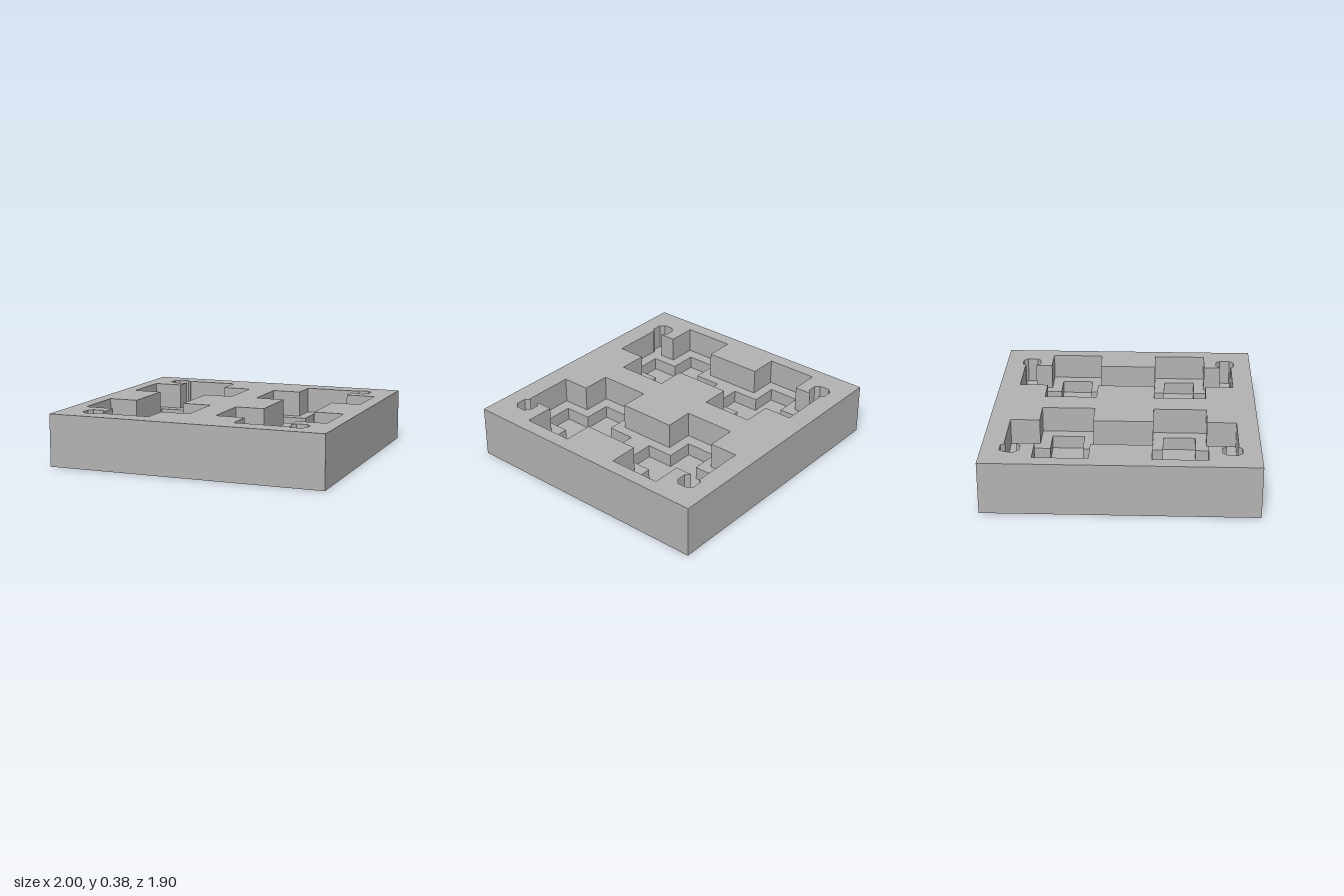
import * as THREE from 'three';
import { mergeGeometries } from 'three/addons/utils/BufferGeometryUtils.js';

const TOP = 0.375, FLOOR = 0.1875, PIT = 0.094;

// Plan outlines are lists of [x, depth] points; each is returned counter-clockwise.
const ccw = pts => {
  const v = pts.map(([x, y]) => new THREE.Vector2(x, y));
  return THREE.ShapeUtils.isClockWise(v) ? v.reverse() : v;
};

// Horizontal face with holes
function flat(outline, holes, y, down = false) {
  const shape = new THREE.Shape(outline);
  shape.holes = holes.map(h => new THREE.Path(h));
  const g = new THREE.ShapeGeometry(shape);
  g.rotateX(down ? Math.PI / 2 : -Math.PI / 2).translate(0, y, 0);
  return g.toNonIndexed();
}

// Vertical walls along an outline, facing outward or inward
function walls(outline, y0, y1, inward = false) {
  const pts = inward ? [...outline].reverse() : outline;
  const pos = [], uv = [];
  pts.forEach((p, i) => {
    const q = pts[(i + 1) % pts.length];
    for (const [v, y] of [[p, y0], [q, y0], [q, y1], [p, y0], [q, y1], [p, y1]]) {
      pos.push(v.x, y, -v.y);
      uv.push(0, 0);
    }
  });
  const g = new THREE.BufferGeometry();
  g.setAttribute('position', new THREE.Float32BufferAttribute(pos, 3));
  g.setAttribute('uv', new THREE.Float32BufferAttribute(uv, 2));
  g.computeVertexNormals();
  return g;
}

// Notched octagonal corner hole, open on the side that meets the recess
function cornerHole(cx, cy) {
  let quarter = [[0.0675, -0.038], [0.058, -0.043], [0.043, -0.058], [0.038, -0.0675]];
  const pts = [];
  for (let k = 0; k < 4; k++) {
    pts.push(...quarter.map(([x, y]) => [cx + x, cy + y]));
    quarter = quarter.map(([x, y]) => [y, -x]);
  }
  return pts;
}

// Double-cross recess: two crosses joined by a channel, with a hole at each end
function recessOutline(side) {
  const half = [
    [-0.6875, 0.2125], [-0.9, 0.2125], [-0.9, 0.5925], [-0.6875, 0.5925],
    ...cornerHole(-0.755, 0.755),
    [-0.6875, 0.8], [-0.3125, 0.8], [-0.3125, 0.5925], [-0.1, 0.5925],
    [-0.1, 0.2125], [-0.3125, 0.2125],
  ];
  const other = [...half].reverse().map(([x, y]) => [x, -y]);
  return ccw([...half, ...other].map(([x, y]) => [-side * x, y]));
}

// Smaller cross sunk into the recess floor
function crossOutline(cx, cy, a = 0.315, b = 0.115) {
  return ccw([[-b, -a], [b, -a], [b, -b], [a, -b], [a, b], [b, b],
    [b, a], [-b, a], [-b, b], [-a, b], [-a, -b], [-b, -b]].map(([x, y]) => [cx + x, cy + y]));
}

export function createModel() {
  const group = new THREE.Group();
  const grey = new THREE.MeshStandardMaterial({ color: 0xb2b2b2 });
  grey.name = 'grey';
  const add = (name, parts) => {
    const mesh = new THREE.Mesh(mergeGeometries(parts), grey);
    mesh.name = name;
    group.add(mesh);
  };

  // Block shell
  const rim = ccw([[-1, -0.95], [1, -0.95], [1, 0.95], [-1, 0.95]]);
  const recesses = [-1, 1].map(recessOutline);
  add('block', [flat(rim, recesses, TOP), flat(rim, [], 0, true), walls(rim, 0, TOP)]);

  // Stepped recesses
  [-1, 1].forEach((side, i) => {
    const name = side < 0 ? 'right' : 'left';
    const crosses = [-1, 1].map(s => crossOutline(side * 0.5, s * 0.4));
    add(name + 'Recess', [flat(recesses[i], crosses, FLOOR), walls(recesses[i], FLOOR, TOP, true)]);
    crosses.forEach((c, k) =>
      add(name + (k ? 'Back' : 'Front') + 'CrossPit', [flat(c, [], PIT), walls(c, PIT, FLOOR, true)]));
  });
  return group;
}
